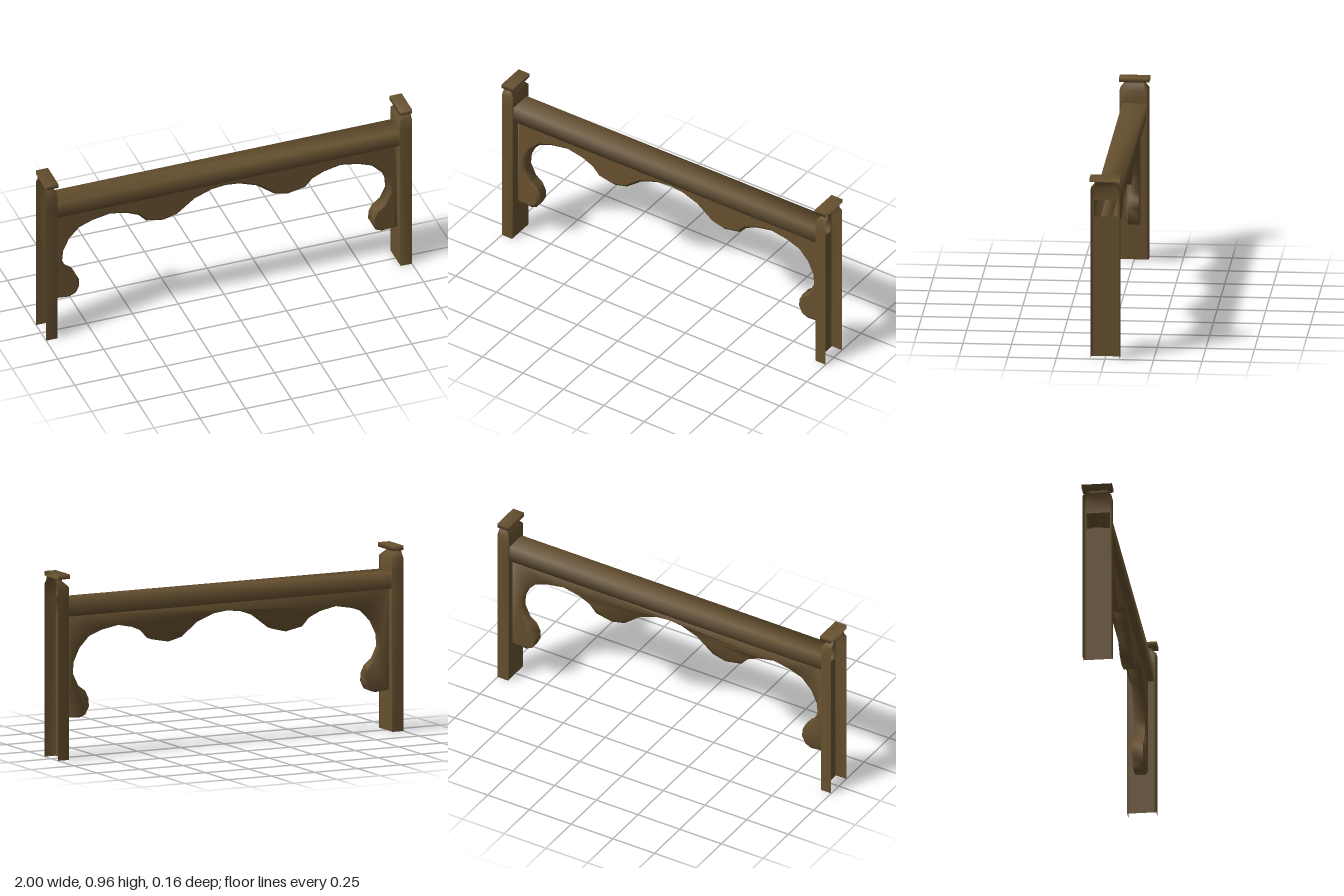
import * as THREE from 'three';

const wood = new THREE.MeshStandardMaterial({ color: 0x66502f, side: THREE.DoubleSide });
wood.name = 'brown wood';

// Smooth mesh from shared points; flip reverses the corner order
function sheet(name, points, index, flip = false) {
  const g = new THREE.BufferGeometry().setFromPoints(points);
  const idx = index.slice();
  if (flip) idx.reverse();
  g.setIndex(idx);
  g.computeVertexNormals();
  const mesh = new THREE.Mesh(g, wood);
  mesh.name = name;
  return mesh;
}

// Triangle list joining rows of n points each
function gridIndex(rows, n, closed, skip = () => false) {
  const index = [];
  for (let r = 0; r < rows - 1; r++) {
    for (let c = 0; c < (closed ? n : n - 1); c++) {
      if (skip(r, c)) continue;
      const a = r * n + c, b = r * n + (c + 1) % n;
      index.push(a, b, b + n, a, b + n, a + n);
    }
  }
  return index;
}

// Rectangular ring around the x axis
const ring = (x, z, y0, y1) =>
  [[-z, y1], [z, y1], [z, y0], [-z, y0]].map(([pz, py]) => new THREE.Vector3(x, py, pz));

// Thin channel post, open to the outside, with a window where the beam meets it
function makePost(s) {
  const post = new THREE.Group();
  post.name = s > 0 ? 'leftPost' : 'rightPost';
  const levels = [ // y, half depth, inner x
    [0, 0.075, 0.938], [0.743, 0.075, 0.938], [0.83, 0.075, 0.938],
    [0.9, 0.075, 0.938], [0.928, 0.053, 0.965], [0.942, 0.053, 0.965],
  ];
  const points = levels.flatMap(([y, z, x]) =>
    [[1, 1], [x, 1], [x, 0.81], [x, -0.81], [x, -1], [1, -1]]
      .map(([px, pz]) => new THREE.Vector3(s * px, y, pz * z)));
  const index = gridIndex(levels.length, 6, false, (r, c) => r === 1 && c === 2);
  post.add(sheet('postChannel', points, index, s > 0));

  // Cap, hollow and open to the outside
  const cap = [...ring(s * 0.934, 0.078, 0.942, 0.965), ...ring(s, 0.078, 0.942, 0.965)];
  post.add(sheet('postCap', cap, [...gridIndex(2, 4, true), 0, 2, 1, 0, 3, 2], s < 0));
  return post;
}

// Carved valance: scalloped board with smooth back and bevelled flat front
function makeValance() {
  const group = new THREE.Group();
  group.name = 'valance';
  const half = [
    [0.075, 0.69], [0.17, 0.655], [0.265, 0.582], [0.34, 0.563], [0.435, 0.582],
    [0.475, 0.625], [0.54, 0.654], [0.63, 0.672], [0.725, 0.655], [0.8, 0.627],
    [0.855, 0.57], [0.888, 0.5], [0.893, 0.44], [0.862, 0.375], [0.822, 0.345],
    [0.802, 0.305], [0.8, 0.262], [0.82, 0.222], [0.855, 0.207], [0.937, 0.215],
    [0.937, 0.748],
  ];
  const outline = [[0, 0.698], ...half, ...half.map(([x, y]) => [-x, y]).reverse()]
    .map(([x, y]) => new THREE.Vector2(x, y));
  const n = outline.length;
  const inset = outline.map((p, i) => {
    const normal = (a, b) => {
      const d = b.clone().sub(a).normalize();
      return new THREE.Vector2(-d.y, d.x);
    };
    const n1 = normal(outline[(i + n - 1) % n], p), n2 = normal(p, outline[(i + 1) % n]);
    return n1.clone().add(n2).multiplyScalar(0.013 / (1 + n1.dot(n2))).add(p);
  });
  const at = (pts, z) => pts.map((p) => new THREE.Vector3(p.x, p.y, z));
  const fill = (pts) => THREE.ShapeUtils.triangulateShape(pts, []).flat();

  const body = [...at(outline, -0.033), ...at(outline, 0.022)];
  group.add(sheet('valanceBody', body, [...gridIndex(2, n, true), ...fill(outline).reverse()]));
  const bevel = [...at(outline, 0.022), ...at(inset, 0.033)];
  group.add(sheet('valanceBevel', bevel, gridIndex(2, n, true)));
  group.add(sheet('valanceFront', at(inset, 0.033), fill(inset)));
  return group;
}

export function createModel() {
  const model = new THREE.Group();
  model.name = 'archwayFrame';
  model.add(makePost(1), makePost(-1), makeValance());

  // Hollow crossbeam, open at both ends
  const beam = [...ring(-0.938, 0.061, 0.743, 0.83), ...ring(0.938, 0.061, 0.743, 0.83)];
  model.add(sheet('crossbeam', beam, gridIndex(2, 4, true)));
  return model;
}
